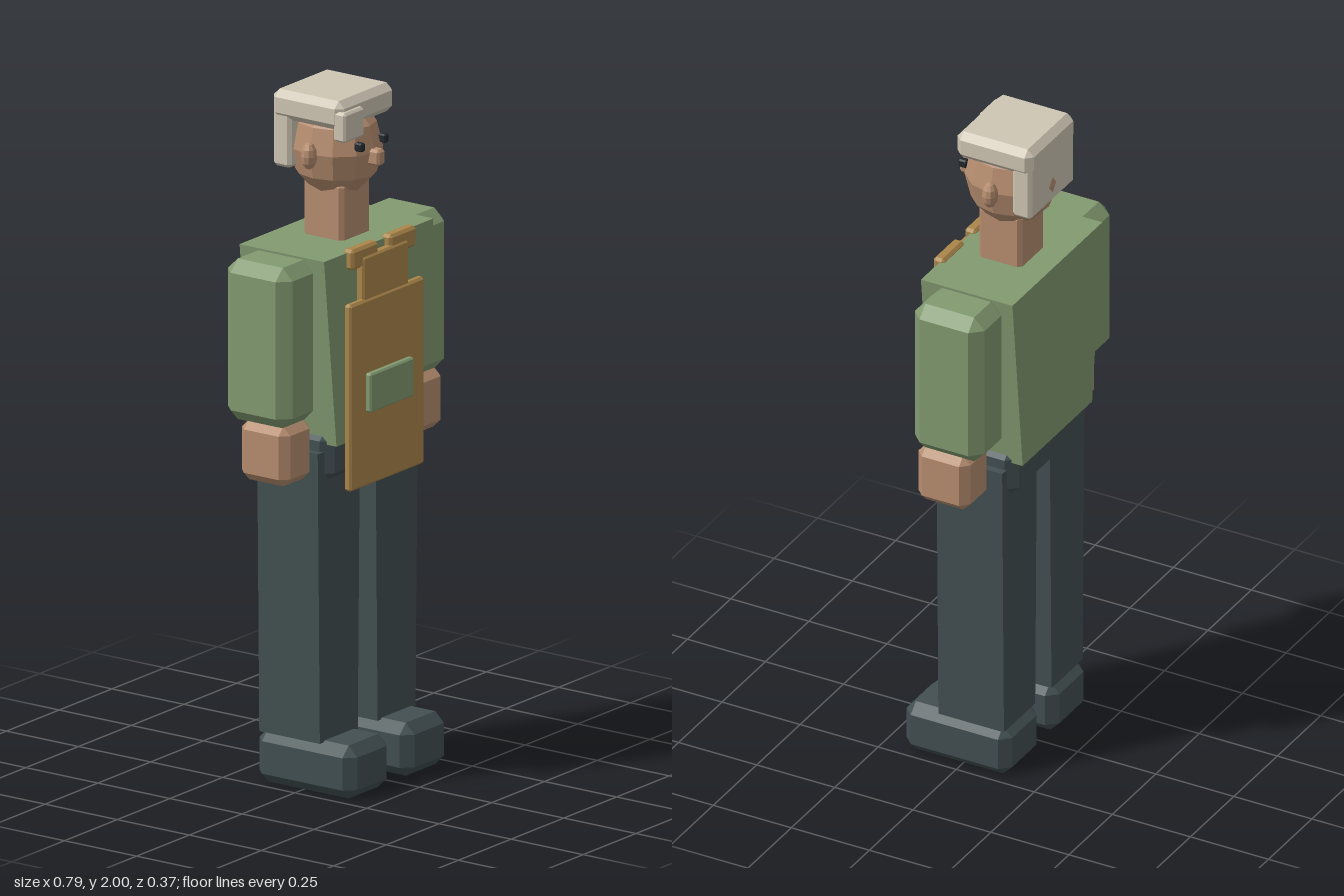
import * as THREE from 'three';
import { ConvexGeometry } from 'three/addons/geometries/ConvexGeometry.js';

const mat = (color) => new THREE.MeshStandardMaterial({ color, flatShading: true });

export function createModel() {
  const model = new THREE.Group();
  model.name = 'standingFigure';

  const shirt = mat(0x829a70);
  const trousers = mat(0x424f51);
  const skin = mat(0xb68d6f);
  const apron = mat(0xab864a);
  const hair = mat(0xcfc6b4);
  const dark = mat(0x22282e);

  const add = (name, geometry, material) => {
    const mesh = new THREE.Mesh(geometry, material);
    mesh.name = name;
    model.add(mesh);
    return mesh;
  };

  // Block between two corners, with every edge cut back by c
  const block = (name, material, [x0, x1], [y0, y1], [z0, z1], c) => {
    const hx = (x1 - x0) / 2, hy = (y1 - y0) / 2, hz = (z1 - z0) / 2;
    const points = [];
    for (const sx of [-1, 1]) for (const sy of [-1, 1]) for (const sz of [-1, 1]) {
      points.push(
        new THREE.Vector3(sx * hx, sy * (hy - c), sz * (hz - c)),
        new THREE.Vector3(sx * (hx - c), sy * hy, sz * (hz - c)),
        new THREE.Vector3(sx * (hx - c), sy * (hy - c), sz * hz)
      );
    }
    const mesh = add(name, new ConvexGeometry(points), material);
    mesh.position.set((x0 + x1) / 2, (y0 + y1) / 2, (z0 + z1) / 2);
    return mesh;
  };

  // Sharp box whose width changes from bottom to top
  const taperedBox = (name, material, cx, bottomW, topW, [y0, y1], [z0, z1]) => {
    const g = new THREE.BoxGeometry(1, y1 - y0, z1 - z0);
    const p = g.attributes.position;
    for (let i = 0; i < p.count; i++) p.setX(i, p.getX(i) * (p.getY(i) > 0 ? topW : bottomW));
    g.computeVertexNormals();
    const mesh = add(name, g, material);
    mesh.position.set(cx, (y0 + y1) / 2, (z0 + z1) / 2);
  };

  // Body
  taperedBox('torso', shirt, 0, 0.40, 0.518, [1.02, 1.575], [-0.185, 0.108]);
  block('hips', trousers, [-0.215, 0.215], [0.905, 1.06], [-0.165, 0.09], 0.03);
  block('neck', skin, [-0.07, 0.07], [1.56, 1.74], [-0.106, 0.032], 0.012);

  // Limbs, and the paired parts of the head and apron
  for (const [side, s] of [['left', 1], ['right', -1]]) {
    const span = (a, b) => (s > 0 ? [a, b] : [-b, -a]);
    taperedBox(side + 'Leg', trousers, s * 0.137, 0.18, 0.2, [0.15, 1.0], [-0.14, 0.07]);
    block(side + 'Shoe', trousers, span(0.036, 0.235), [0, 0.155], [-0.155, 0.184], 0.03);
    block(side + 'Arm', shirt, span(0.228, 0.393), [1.1, 1.57], [-0.152, 0.072], 0.034);
    block(side + 'Hand', skin, span(0.24, 0.38), [0.93, 1.105], [-0.105, 0.062], 0.024);
    block(side + 'Strap', apron, span(0.028, 0.153), [1.525, 1.585], [0.094, 0.13], 0.008);
    block(side + 'Eye', dark, span(0.046, 0.066), [1.845, 1.87], [0.07, 0.097], 0.004);

    const ear = add(side + 'Ear', new THREE.SphereGeometry(1, 10, 6), skin);
    ear.scale.set(0.026, 0.04, 0.023);
    ear.position.set(s * 0.127, 1.827, -0.04);
  }

  // Head
  const head = add('head', new THREE.SphereGeometry(1, 12, 6), skin);
  head.scale.set(0.126, 0.148, 0.136);
  head.position.set(0, 1.83, -0.04);
  block('nose', skin, [-0.018, 0.018], [1.795, 1.842], [0.07, 0.12], 0.007);

  // Hair
  block('hairTop', hair, [-0.133, 0.133], [1.915, 2], [-0.173, 0.072], 0.02);
  block('hairBack', hair, [-0.126, 0.126], [1.775, 1.965], [-0.17, -0.108], 0.01);
  block('hairFringe', hair, [-0.132, -0.036], [1.885, 1.972], [0.045, 0.087], 0.007);

  // Apron
  block('apronSkirt', apron, [-0.176, 0.176], [0.885, 1.432], [0.115, 0.14], 0.007);
  block('apronBib', apron, [-0.107, 0.107], [1.41, 1.555], [0.106, 0.135], 0.006);
  block('apronPocket', shirt, [-0.104, 0.104], [1.103, 1.217], [0.134, 0.157], 0.005);

  return model;
}
